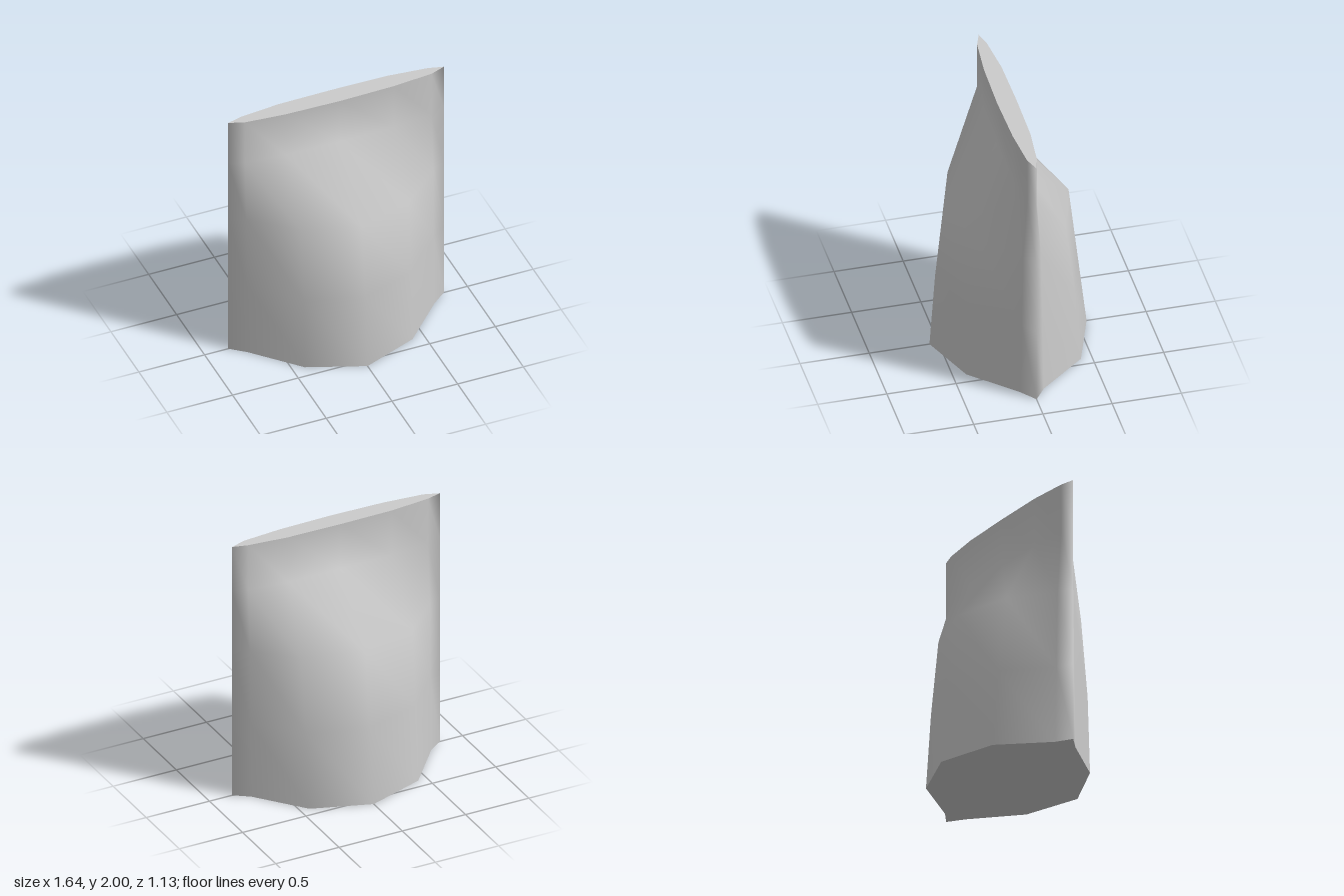
import * as THREE from 'three';

// Each level: height, then half-width and depth of the shoulder, bend and centre points
const LEVELS = [
  { y: 0, front: [[0.71, 0.09], [0.41, 0.405], [0, 0.565]], back: [[0.71, -0.08], [0.43, -0.42], [0, -0.57]] },
  { y: 0.58, front: [[0.71, 0.08], [0.41, 0.385], [0, 0.525]], back: [[0.71, -0.07], [0.435, -0.375], [0, -0.505]] },
  { y: 1.16, front: [[0.71, 0.07], [0.41, 0.33], [0, 0.46]], back: [[0.71, -0.06], [0.44, -0.31], [0, -0.44]] },
  { y: 1.64, front: [[0.71, 0.04], [0.41, 0.067], [0, 0.076]], back: [[0.71, -0.03], [0.41, -0.06], [0, -0.065]] },
  { y: 2, front: [[0.71, 0.04], [0.41, 0.067], [0, 0.076]], back: [[0.71, -0.03], [0.41, -0.06], [0, -0.065]] },
];
const SEAM = 0.82;

// Closed outline: left seam, across the front, right seam, across the back
function outline({ y, front, back }) {
  const [f, b] = [front, back];
  const m = ([x, z]) => [-x, z];
  return [[SEAM, 0], ...f, m(f[1]), m(f[0]), [-SEAM, 0], m(b[0]), m(b[1]), b[2], b[1], b[0]]
    .map(([x, z]) => [x, y, z]);
}

function makeMesh(name, points, index, material) {
  const geometry = new THREE.BufferGeometry();
  geometry.setAttribute('position', new THREE.Float32BufferAttribute(points.flat(), 3));
  geometry.setIndex(index);
  geometry.computeVertexNormals();
  const mesh = new THREE.Mesh(geometry, material);
  mesh.name = name;
  return mesh;
}

// Smooth skin joining the outlines
function makeWall(rings, material) {
  const n = rings[0].length;
  const index = [];
  for (let r = 0; r < rings.length - 1; r++) {
    for (let i = 0; i < n; i++) {
      const a = r * n + i, b = r * n + (i + 1) % n;
      index.push(a, a + n, b + n, a, b + n, b);
    }
  }
  return makeMesh('pouchWall', rings.flat(), index, material);
}

// Flat fan closing one end
function makeCap(name, ring, up, material) {
  const n = ring.length;
  const index = [];
  for (let i = 0; i < n; i++) {
    const j = (i + 1) % n;
    index.push(n, up ? j : i, up ? i : j);
  }
  return makeMesh(name, [...ring, [0, ring[0][1], 0]], index, material);
}

export function createModel() {
  const group = new THREE.Group();
  group.name = 'pouch';
  const material = new THREE.MeshStandardMaterial({ color: 0xcccccc });
  const rings = LEVELS.map(outline);
  group.add(
    makeWall(rings, material),
    makeCap('pouchBase', rings[0], false, material),
    makeCap('sealedTop', rings[rings.length - 1], true, material),
  );
  return group;
}
